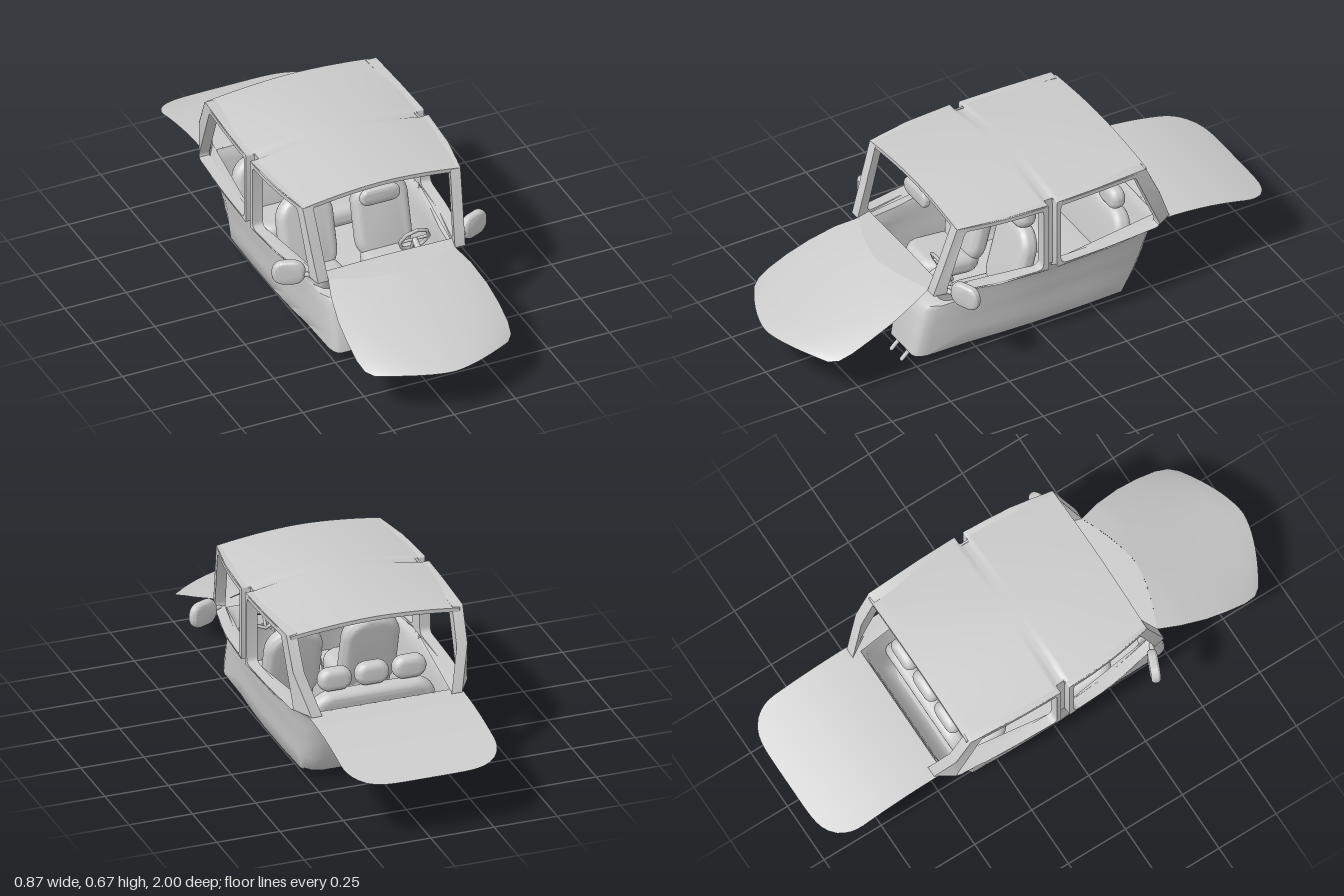
import * as THREE from 'three';
import { toCreasedNormals } from 'three/addons/utils/BufferGeometryUtils.js';
import { ParametricGeometry } from 'three/addons/geometries/ParametricGeometry.js';

const material = new THREE.MeshStandardMaterial({ color: 0xcccccc, side: THREE.DoubleSide });

function add(parent, name, geometry, x = 0, y = 0, z = 0) {
  const mesh = new THREE.Mesh(geometry, material);
  mesh.name = name;
  mesh.position.set(x, y, z);
  parent.add(mesh);
  return mesh;
}

// Rounded cushion: rounded rectangle with soft bevelled faces
function pad(w, h, d, r) {
  const b = d * 0.42, W = w / 2 - b, H = h / 2 - b;
  r = Math.max(0.004, Math.min(r, W, H) - 0.001);
  const s = new THREE.Shape();
  s.absarc(W - r, H - r, r, 0, Math.PI / 2);
  s.absarc(-W + r, H - r, r, Math.PI / 2, Math.PI);
  s.absarc(-W + r, -H + r, r, Math.PI, Math.PI * 1.5);
  s.absarc(W - r, -H + r, r, Math.PI * 1.5, Math.PI * 2);
  const g = new THREE.ExtrudeGeometry(s, {
    depth: d - 2 * b, bevelSize: b, bevelThickness: b, bevelSegments: 5, curveSegments: 5,
  });
  g.center();
  return toCreasedNormals(g, 0.9);
}

// Straight round bar between two points
function bar(a, b, r) {
  return new THREE.TubeGeometry(new THREE.LineCurve3(new THREE.Vector3(...a), new THREE.Vector3(...b)), 1, r, 8);
}

const lerp = THREE.MathUtils.lerp;

// Outer half width of the roof rail and window frames along z
function railX(z) {
  if (z > 0) return 0.363 - 0.3 * z * z;
  return 0.363 - 0.08 * z * z - Math.max(0, -z - 0.48) * 0.6;
}
const inGroove = (z) => z > -0.033 && z < 0.003;

// Half outline of the tub in plan, from rear centre to tunnel centre
function tubRow([y, W, zf, zr, nz], top) {
  const xf = top ? 0.3 : 0.25 - Math.max(0, 0.04 - y);
  const pts = [[0, zr], [W * 0.72, zr], [W * 0.86, zr + 0.012], [W * 0.94, zr + 0.04]];
  for (const z of [-0.36, -0.2, -0.04, -0.032, 0.002, 0.01, 0.15, 0.28]) {
    const k = THREE.MathUtils.smoothstep(z, 0.0, 0.5);
    let x = top ? railX(z) : lerp(W, xf, k) - (z < -0.3 ? 0.004 : 0);
    if (top && inGroove(z)) x = 0.328;
    pts.push([x, z]);
  }
  pts.push([lerp(xf, W, 0.25), zf - 0.05], [xf, zf - 0.022], [xf - 0.008, zf - 0.008], [xf - 0.025, zf]);
  const n = nz ?? zf;
  pts.push([0.07, zf], [0.055, Math.max(n, zf - 0.015)], [0.052, Math.min(n + 0.04, zf)], [0.035, n], [0, n]);
  const half = pts.map(([x, z]) => new THREE.Vector3(x, y, z));
  const other = half.slice(1, -1).reverse().map((p) => new THREE.Vector3(-p.x, y, p.z));
  return [...half, ...other];
}

function buildTub(group) {
  // y, half width, front z, rear z, tunnel end z
  const rows = [
    [0.03, 0.262, 0.49, -0.39, 0.17], [0.04, 0.275, 0.507, -0.41, 0.175], [0.1, 0.283, 0.497, -0.44, 0.19],
    [0.14, 0.287, 0.487, -0.455, 0.22], [0.175, 0.29, 0.478, -0.468, 0.33], [0.185, 0.292, 0.475, -0.47],
    [0.235, 0.299, 0.465, -0.483], [0.25, 0.301, 0.45, -0.487], [0.255, 0.302, 0.39, -0.488],
    [0.29, 0.306, 0.41, -0.495], [0.315, 0.318, 0.435, -0.502], [0.337, 0.345, 0.45, -0.515],
  ].map((r, i, all) => tubRow(r, i === all.length - 1));
  const n = rows[0].length;
  const shell = new ParametricGeometry((u, v, t) => {
    t.copy(rows[Math.min(rows.length - 1, Math.max(0, Math.round(v * (rows.length - 1))))][((Math.round(u * n) % n) + n) % n]);
  }, n, rows.length - 1);
  add(group, 'bodyTub', toCreasedNormals(shell, 0.8));
  const floor = new THREE.ShapeGeometry(new THREE.Shape(rows[0].map((p) => new THREE.Vector2(p.x, -p.z))));
  floor.rotateX(-Math.PI / 2);
  add(group, 'floor', floor, 0, 0.03, 0);
}

// Closed loop of corners with rounded joins, in (z, y)
function roundedLoop(path, corners, r) {
  const v = corners.map(([z, y]) => new THREE.Vector2(z, y));
  v.forEach((p, i) => {
    const toward = (q) => p.clone().add(q.clone().sub(p).setLength(r));
    const a = toward(v[(i + v.length - 1) % v.length]), b = toward(v[(i + 1) % v.length]);
    if (i) path.lineTo(a.x, a.y); else path.moveTo(a.x, a.y);
    path.quadraticCurveTo(p.x, p.y, b.x, b.y);
  });
  path.closePath();
  return path;
}

// Window surround, bent to follow the rail
function windowFrame(outer, hole) {
  const shape = roundedLoop(new THREE.Shape(), outer, 0.006);
  shape.holes.push(roundedLoop(new THREE.Path(), hole, 0.025));
  const g = new THREE.ExtrudeGeometry(shape, { depth: 1, bevelEnabled: false, curveSegments: 4 });
  const p = g.attributes.position;
  for (let i = 0; i < p.count; i++) {
    const z = p.getX(i);
    p.setXYZ(i, railX(z) - 0.042 * (1 - p.getZ(i)), p.getY(i), z);
  }
  g.scale(-1, 1, 1); // swapped axes flip the winding
  return toCreasedNormals(g, 0.5);
}

function buildSides(group) {
  const front = windowFrame(
    [[0.003, 0.332], [0.2, 0.332], [0.46, 0.337], [0.43, 0.43], [0.37, 0.625], [0.2, 0.628], [0.003, 0.628]],
    [[0.024, 0.342], [0.2, 0.34], [0.412, 0.345], [0.336, 0.612], [0.2, 0.616], [0.024, 0.616]]);
  const rear = windowFrame(
    [[-0.033, 0.332], [-0.3, 0.332], [-0.55, 0.335], [-0.48, 0.5], [-0.42, 0.63], [-0.2, 0.628], [-0.033, 0.628]],
    [[-0.05, 0.342], [-0.25, 0.34], [-0.486, 0.342], [-0.37, 0.616], [-0.2, 0.616], [-0.05, 0.616]]);
  for (const s of [1, -1]) {
    const side = new THREE.Group();
    side.name = s > 0 ? 'leftSide' : 'rightSide';
    side.scale.x = s;
    group.add(side);
    add(side, 'frontWindowFrame', front).scale.x = -1;
    add(side, 'rearWindowFrame', rear).scale.x = -1;
    add(side, 'centrePillar', new THREE.BoxGeometry(0.008, 0.295, 0.05), 0.325, 0.48, -0.015);
    const mirror = add(side, 'doorMirror', pad(0.125, 0.1, 0.036, 0.03), 0.377, 0.356, 0.365);
    mirror.rotation.y = 0.4;
    add(side, 'mirrorArm', bar([0.29, 0.345, 0.41], [0.345, 0.35, 0.382], 0.01));
  }
}

function buildPanels(group) {
  // Crowned roof slab with grooves at the centre pillars
  const roof = new THREE.BoxGeometry(2, 1, 0.8, 24, 1, 80);
  const p = roof.attributes.position;
  for (let i = 0; i < p.count; i++) {
    const u = p.getX(i), z = p.getZ(i) - 0.03;
    const crown = 1 - Math.pow(Math.abs(u), 1.8);
    const w = inGroove(z) ? 0.328 : Math.min(railX(z), 0.363 - Math.max(0, -z - 0.37) * 0.5);
    p.setXYZ(i, u * w, 0.617 + crown * (0.043 - 0.1 * z * z) + (p.getY(i) - 0.5) * 0.016 + 0.006, z);
  }
  add(group, 'roof', toCreasedNormals(roof, 0.7));

  // Bonnet rows: centre z, centre y, side z, side y, half width
  const rows = [
    [0.53, 0.347, 0.455, 0.343, 0.258], [0.58, 0.33, 0.54, 0.318, 0.285], [0.67, 0.299, 0.64, 0.28, 0.304],
    [0.77, 0.265, 0.73, 0.245, 0.31], [0.88, 0.229, 0.81, 0.21, 0.309], [0.95, 0.207, 0.86, 0.188, 0.298],
    [1.0, 0.19, 0.892, 0.18, 0.272],
  ];
  const rowAt = (v) => {
    const f = Math.min(Math.max(v, 0), 1) * (rows.length - 1), i = Math.min(Math.floor(f), rows.length - 2);
    return rows[i].map((a, k) => lerp(a, rows[i + 1][k], f - i));
  };
  const bonnet = new ParametricGeometry((u, v, t) => {
    const x = u * 2 - 1, [zc, yc, zs, ys, w] = rowAt(v), a = Math.abs(x);
    t.set(x * w, lerp(yc, ys, a ** 3), lerp(zc, zs, a ** 1.6));
  }, 20, 18);
  add(group, 'bonnet', toCreasedNormals(bonnet, 0.8));

  // Cowl between windscreen and bonnet
  const cowl = new ParametricGeometry((u, v, t) => {
    const x = u * 2 - 1, a = Math.abs(x);
    t.set(x * lerp(0.285, 0.258, v), 0.343 + 0.004 * (1 - a), lerp(0.4, lerp(0.53, 0.455, a ** 1.6), v));
  }, 20, 3);
  add(group, 'cowl', toCreasedNormals(cowl, 0.8));

  // Boot lid, curving down to a rounded rear edge
  const boot = new ParametricGeometry((u, v, t) => {
    const x = u * 2 - 1, a = Math.abs(x), end = Math.max(0, v - 0.75) / 0.25;
    const w = 0.305 - 0.035 * end ** 2;
    const z = lerp(-0.51, -1, v) + 0.045 * v ** 4 * a ** 6;
    t.set(x * w, 0.337 - 0.087 * ((-z - 0.51) / 0.49) ** 2, z);
  }, 20, 16);
  add(group, 'bootLid', toCreasedNormals(boot, 0.8));
}

function buildInterior(group) {
  for (const [s, name] of [[1, 'leftSeat'], [-1, 'rightSeat']]) {
    const seat = new THREE.Group();
    seat.name = name;
    seat.position.x = 0.152 * s;
    group.add(seat);
    add(seat, 'seatBack', pad(0.225, 0.34, 0.07, 0.07), 0, 0.265, 0.04).rotation.x = -0.25;
    add(seat, 'seatCushion', pad(0.215, 0.25, 0.08, 0.04), 0, 0.13, 0.16).rotation.x = Math.PI / 2 - 0.1;
    add(seat, 'headrest', pad(0.145, 0.115, 0.072, 0.05), 0, 0.472, 0.0).rotation.x = -0.15;
  }
  add(group, 'rearSeatBack', pad(0.5, 0.24, 0.07, 0.06), 0, 0.235, -0.38).rotation.x = -0.2;
  add(group, 'rearSeatCushion', pad(0.49, 0.22, 0.08, 0.05), 0, 0.13, -0.27).rotation.x = Math.PI / 2 - 0.1;
  for (const x of [-0.147, 0, 0.147]) add(group, 'rearHeadrest', pad(0.132, 0.09, 0.06, 0.03), x, 0.4, -0.39);

  add(group, 'interiorMirror', pad(0.162, 0.068, 0.03, 0.03), 0, 0.588, 0.355);

  // Steering wheel with column and spokes
  const wheel = new THREE.Group();
  wheel.name = 'steeringWheel';
  wheel.position.set(0.15, 0.335, 0.335);
  wheel.rotation.x = 0.45;
  group.add(wheel);
  add(wheel, 'rim', new THREE.TorusGeometry(0.06, 0.007, 6, 8));
  for (const a of [0, Math.PI, Math.PI * 1.5])
    add(wheel, 'spoke', bar([0, 0, 0], [0.058 * Math.cos(a), 0.058 * Math.sin(a), 0], 0.006));
  add(wheel, 'column', bar([0, 0, 0], [0, 0, 0.08], 0.012));

  // Pedal stubs through the footwell
  for (const x of [0.115, 0.19]) {
    add(group, 'pedal', bar([x, 0.04, 0.497], [x, 0.008, 0.53], 0.008));
    add(group, 'pedalTip', new THREE.SphereGeometry(0.008, 8, 6), x, 0.008, 0.53);
  }
}

export function createModel() {
  const group = new THREE.Group();
  group.name = 'carCabin';
  buildTub(group);
  buildSides(group);
  buildPanels(group);
  buildInterior(group);
  return group;
}
